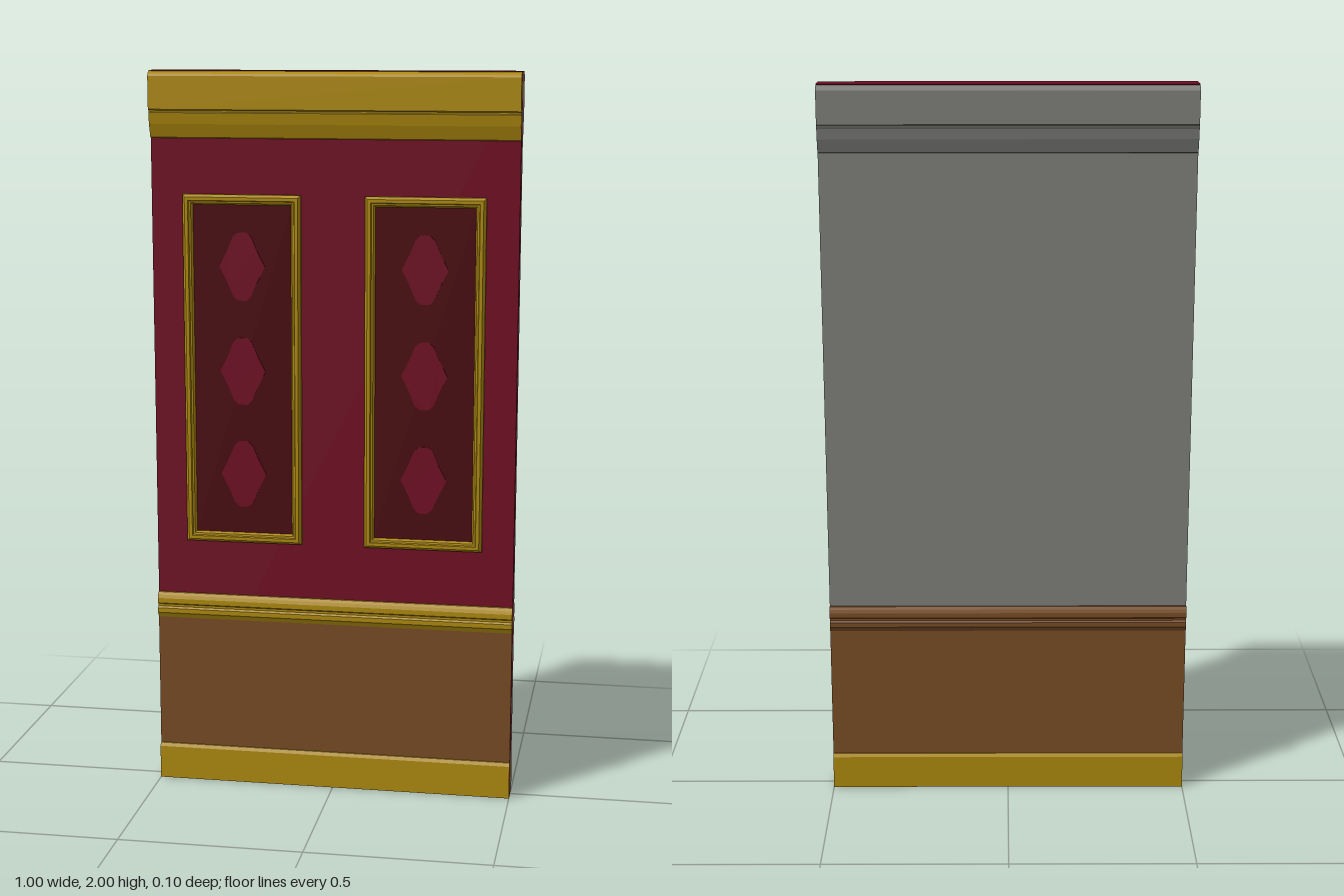
import * as THREE from 'three';

const mat = (name, color) => {
  const m = new THREE.MeshStandardMaterial({ color });
  m.name = name;
  return m;
};

export function createModel() {
  const crimson = mat('crimson', 0x700e24);
  const gold = mat('gold', 0xae8a0f);
  const wood = mat('wood', 0x794c25);
  const grey = mat('grey', 0x7f7f7b);
  const darkRed = mat('dark red', 0x4a0b0f);

  const model = new THREE.Group();
  model.name = 'wallPanel';

  const add = (name, geometry, material, parent = model) => {
    const mesh = new THREE.Mesh(geometry, material);
    mesh.name = name;
    parent.add(mesh);
    return mesh;
  };

  // Box given by its y and z limits, spanning the full width
  const slab = (name, y0, y1, z0, z1, material) =>
    add(name, new THREE.BoxGeometry(1, y1 - y0, z1 - z0), material)
      .position.set(0, (y0 + y1) / 2, (z0 + z1) / 2);

  // Moulding profile [z, y] swept along x; side = 1 front, -1 back
  const moulding = (name, profile, side, material) => {
    const shape = new THREE.Shape(profile.map(([z, y]) => new THREE.Vector2(z * side, y)));
    const geometry = new THREE.ExtrudeGeometry(shape, { depth: 1, bevelEnabled: false });
    geometry.rotateY(-Math.PI / 2).translate(0.5, 0, 0);
    add(name, geometry, material);
  };

  // Wall core: crimson front half, grey back half
  slab('frontWall', 0.002, 1.998, 0, 0.024, crimson);
  slab('backWall', 0.002, 1.998, -0.024, 0, grey);
  slab('topCap', 1.997, 2, -0.035, 0.035, crimson);
  slab('bottomCap', 0, 0.002, -0.038, 0.038, crimson);

  // Wainscot
  slab('frontWainscot', 0.09, 0.49, 0.02, 0.03, [crimson, crimson, crimson, crimson, wood, crimson]);
  slab('backWainscot', 0.09, 0.49, -0.03, -0.024, wood);

  // Cornice, chair rail and skirting on both sides
  const cornice = [
    [0.024, 1.82], [0.029, 1.822], [0.041, 1.858], [0.046, 1.888], [0.044, 1.89],
    [0.044, 1.894], [0.05, 1.897], [0.05, 1.985], [0.047, 1.991], [0.035, 1.998], [0.024, 1.998],
  ];
  const chairRail = [
    [0.024, 0.476], [0.031, 0.478], [0.036, 0.488], [0.039, 0.492], [0.039, 0.505], [0.034, 0.51],
    [0.034, 0.516], [0.04, 0.52], [0.04, 0.534], [0.036, 0.543], [0.03, 0.55], [0.024, 0.55],
  ];
  const skirting = [[0.024, 0.001], [0.04, 0.001], [0.04, 0.094], [0.034, 0.103], [0.024, 0.103]];
  moulding('frontCornice', cornice, 1, gold);
  moulding('backCornice', cornice, -1, grey);
  moulding('frontChairRail', chairRail, 1, gold);
  moulding('backChairRail', chairRail, -1, wood);
  moulding('frontSkirting', skirting, 1, gold);
  moulding('backSkirting', skirting, -1, gold);

  // Mitred picture frame: [inset, z] profile around a rectangle
  const mitredFrame = (w, h, profile) => {
    const ring = ([d, z]) => [[-1, -1], [1, -1], [1, 1], [-1, 1]]
      .map(([sx, sy]) => [sx * (w / 2 - d), sy * (h / 2 - d), z]);
    const pos = [];
    for (let i = 0; i < profile.length - 1; i++) {
      const a = ring(profile[i]), b = ring(profile[i + 1]);
      for (let k = 0; k < 4; k++) {
        const n = (k + 1) % 4;
        pos.push(...a[k], ...a[n], ...b[n], ...a[k], ...b[n], ...b[k]);
      }
    }
    const geometry = new THREE.BufferGeometry();
    geometry.setAttribute('position', new THREE.Float32BufferAttribute(pos, 3));
    geometry.computeVertexNormals();
    return geometry;
  };
  const frameGeometry = mitredFrame(0.325, 0.965, [
    [0, 0.024], [0, 0.034], [0.007, 0.042], [0.016, 0.042],
    [0.018, 0.037], [0.023, 0.036], [0.028, 0.027],
  ]);

  // Soft-cornered lozenge
  const quarter = [[0.063, 0], [0.04, 0.046], [0.026, 0.08], [0.012, 0.093]];
  const right = [...quarter.slice(1).reverse().map(([x, y]) => [x, -y]), ...quarter];
  const outline = [...right, ...right.map(([x, y]) => [-x, -y])];
  const lozenge = new THREE.ExtrudeGeometry(
    new THREE.Shape(outline.map(([x, y]) => new THREE.Vector2(x, y))),
    { depth: 0.002, bevelEnabled: false });

  // Two framed inset panels with three lozenges each
  for (const [side, x] of [['left', 0.25], ['right', -0.25]]) {
    const panel = new THREE.Group();
    panel.name = side + 'Panel';
    panel.position.set(x, 1.188, 0);
    model.add(panel);
    add('frame', frameGeometry, gold, panel);
    add('field', new THREE.BoxGeometry(0.275, 0.915, 0.005), darkRed, panel).position.z = 0.0255;
    for (const y of [-0.288, 0, 0.288]) {
      add('lozenge', lozenge, crimson, panel).position.set(0, y, 0.028);
    }
  }
  return model;
}
